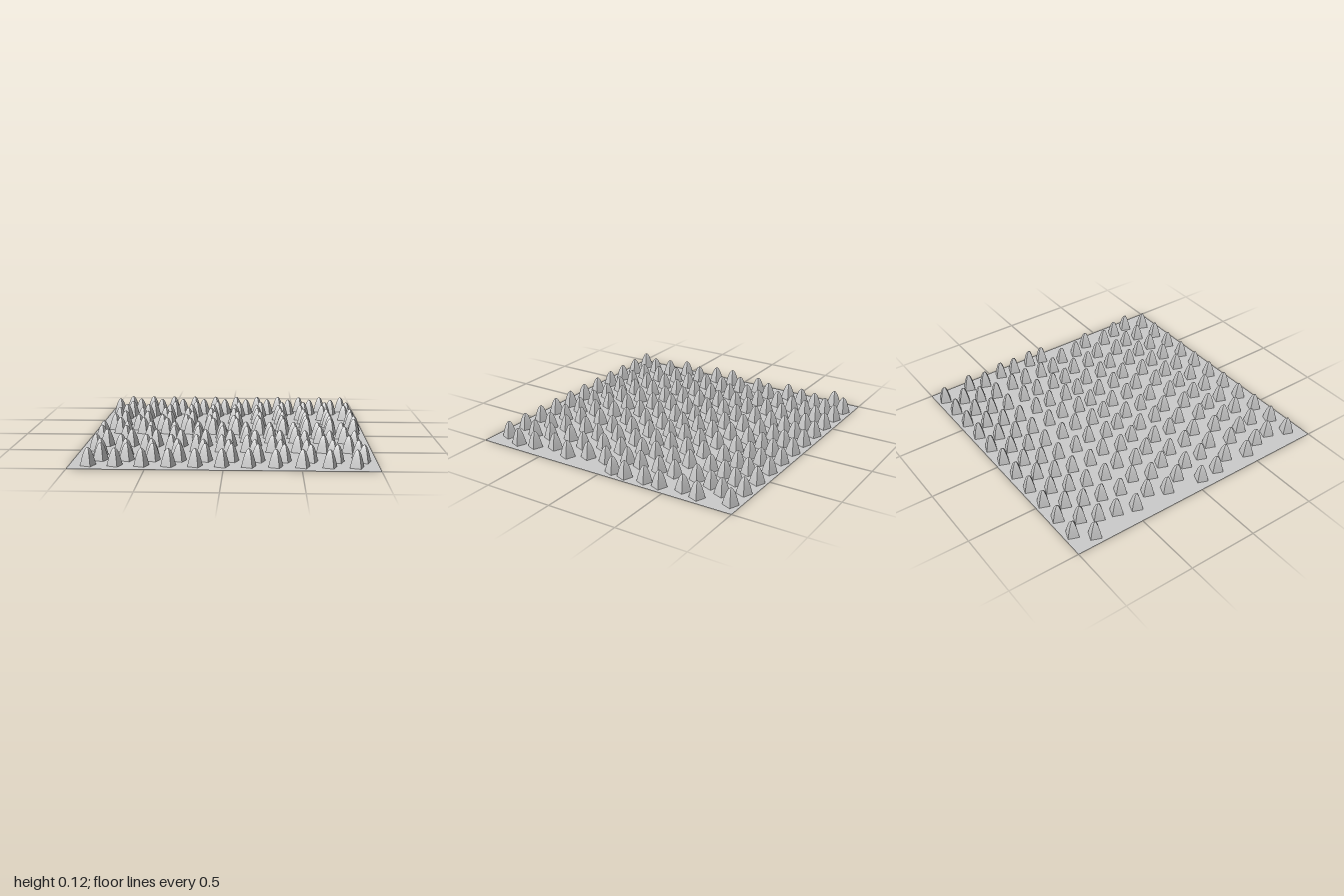
import * as THREE from 'three';
import { toCreasedNormals } from 'three/addons/utils/BufferGeometryUtils.js';

const HEIGHT = 0.118, RADIUS = 0.053, PER_ROW = 11;

// Rows of spikes: [z, first x, x pitch, z drift per spike]
const ROWS = [
  [-0.935, -0.835, 0.173, 0], [-0.823, -0.925, 0.173, 0], [-0.713, -0.805, 0.173, 0],
  [-0.59, -0.835, 0.173, 0], [-0.458, -0.872, 0.18, 0.0025], [-0.315, -0.807, 0.173, 0],
  [-0.193, -0.866, 0.18, 0.0025], [-0.062, -0.807, 0.173, 0], [0.067, -0.91, 0.173, 0],
  [0.21, -0.9, 0.173, 0], [0.341, -0.84, 0.173, 0], [0.494, -0.893, 0.173, 0],
  [0.629, -0.84, 0.173, 0], [0.759, -0.818, 0.173, 0], [0.897, -0.877, 0.173, 0],
];

export function createModel() {
  const model = new THREE.Group();
  model.name = 'spikeMat';

  // Flat square sheet
  const sheet = new THREE.Mesh(
    new THREE.PlaneGeometry(2, 2).rotateX(-Math.PI / 2),
    new THREE.MeshStandardMaterial({ color: 0xcccccc, side: THREE.DoubleSide })
  );
  sheet.name = 'baseSheet';
  model.add(sheet);

  // Four-sided spike with a parabolic profile, twisted about its axis
  const profile = [];
  for (let i = 0; i <= 10; i++) {
    const t = 1 - i / 10;
    profile.push(new THREE.Vector2(RADIUS * t, HEIGHT * (1 - t * t)));
  }
  const spikeGeometry = toCreasedNormals(new THREE.LatheGeometry(profile, 4, 0.42), 0.6);
  const spikeMaterial = new THREE.MeshStandardMaterial({ color: 0xcccccc });

  ROWS.forEach(([z, x, pitch, drift], r) => {
    const row = new THREE.Group();
    row.name = `spikeRow${r + 1}`;
    for (let i = 0; i < PER_ROW; i++) {
      const spike = new THREE.Mesh(spikeGeometry, spikeMaterial);
      spike.name = 'spike';
      spike.position.set(x + i * pitch, 0, z + i * drift);
      row.add(spike);
    }
    model.add(row);
  });
  return model;
}
